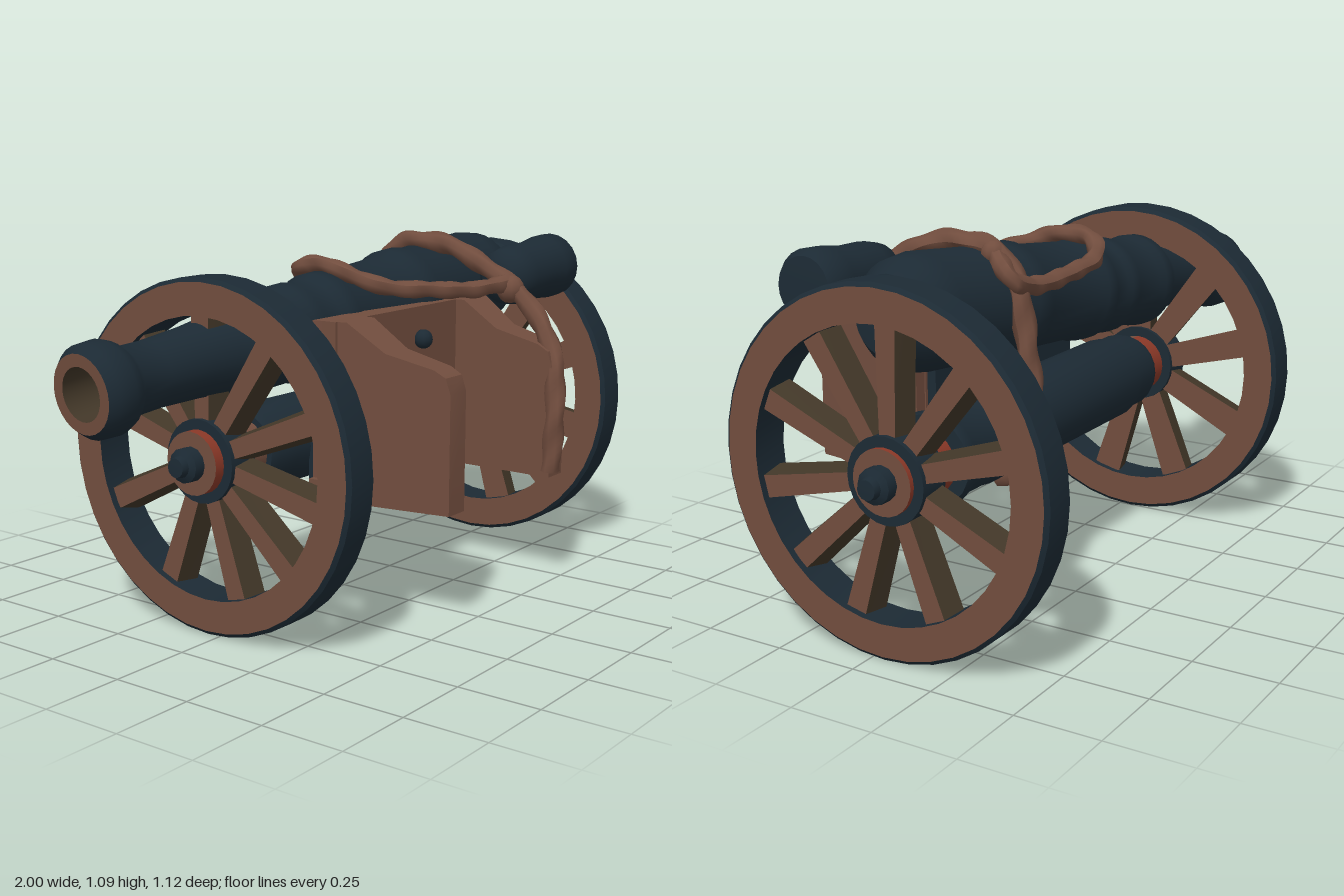
import * as THREE from 'three';
import { toCreasedNormals } from 'three/addons/utils/BufferGeometryUtils.js';

const material = (name, color) => {
  const m = new THREE.MeshStandardMaterial({ color });
  m.name = name;
  return m;
};

export function createModel() {
  const wood = material('brown wood', 0x714d3e);
  const iron = material('blue black iron', 0x1c2a34);
  const red = material('rust red', 0x8a3827);
  const shade = material('dark olive wood', 0x423728);

  const model = new THREE.Group();
  model.name = 'fieldCannon';

  const add = (parent, name, geometry, mat, x = 0, y = 0, z = 0) => {
    const mesh = new THREE.Mesh(geometry, mat);
    mesh.name = name;
    mesh.position.set(x, y, z);
    parent.add(mesh);
    return mesh;
  };
  const lathe = (points, segments = 28) => toCreasedNormals(
    new THREE.LatheGeometry(points.map(([r, h]) => new THREE.Vector2(r, h)), segments), 0.7);
  // lathe whose axis runs along +x
  const latheX = (points, segments) => lathe(points, segments).rotateZ(-Math.PI / 2);
  const pathOf = (points) => new THREE.CatmullRomCurve3(points.map((p) => new THREE.Vector3(...p)));

  // Barrel, tilted up towards the breech
  const muzzle = new THREE.Vector3(-0.99, 0.76, -0.11);
  const breech = new THREE.Vector3(0.8, 0.92, 0.005);
  const barrel = new THREE.Group();
  barrel.name = 'barrel';
  barrel.position.copy(muzzle);
  barrel.quaternion.setFromUnitVectors(
    new THREE.Vector3(0, 1, 0), breech.clone().sub(muzzle).normalize());
  model.add(barrel);
  add(barrel, 'barrelBody', lathe([
    [0.11, 0], [0.13, 0.025], [0.133, 0.08], [0.122, 0.11], [0.098, 0.14], [0.096, 0.24],
    [0.104, 0.39], [0.115, 0.49], [0.126, 0.53], [0.147, 0.56], [0.147, 0.6], [0.139, 0.63],
    [0.141, 0.75], [0.15, 0.77], [0.15, 0.81], [0.144, 0.83], [0.144, 0.89], [0.158, 0.91],
    [0.158, 0.96], [0.148, 0.98], [0.154, 1.25], [0.168, 1.28], [0.168, 1.34], [0.16, 1.36],
    [0.163, 1.68], [0.15, 1.75], [0.11, 1.8], [0, 1.82],
  ]), iron);
  add(barrel, 'muzzleFace', lathe([[0.075, 0], [0.11, 0]]), wood);
  add(barrel, 'bore', lathe([[0, 0.12], [0.075, 0.12], [0.075, 0]]), shade);

  // Rounded roll lashed beside the breech
  const roll = add(model, 'sideRoll', latheX([
    [0, 0], [0.06, 0.01], [0.087, 0.04], [0.097, 0.1], [0.094, 0.2], [0.103, 0.27],
    [0.103, 0.34], [0.085, 0.365], [0, 0.37],
  ], 20), iron, 0.455, 0.953, 0.264);
  roll.rotation.z = 0.05;

  // Axle
  const axleY = 0.513, axleZ = -0.06;
  add(model, 'axleBody', latheX([
    [0, -0.41], [0.11, -0.41], [0.12, -0.38], [0.12, -0.3], [0.13, -0.26], [0.13, 0.5],
    [0.125, 0.54], [0.125, 0.67], [0.135, 0.69], [0.13, 0.72], [0, 0.72],
  ], 22), iron, 0, axleY, axleZ);

  // Wheels
  const spokeAngles = [93, 130, 165, 205, 247, 284, 315, 346, 22, 58];
  const w = 0.0575, rimIn = 0.408, rimOut = 0.503;
  for (const [name, x, side] of [['rightWheel', -0.547, -1], ['leftWheel', 0.865, 1]]) {
    const wheel = new THREE.Group();
    wheel.name = name;
    wheel.position.set(x, 0.52, -0.04);
    model.add(wheel);
    add(wheel, 'tyre',
      latheX([[rimOut, -w], [0.515, -0.047], [0.515, 0.047], [rimOut, w]], 40), iron);
    add(wheel, 'rimInside', latheX([[rimIn, w], [rimIn, -w]], 40), iron);
    add(wheel, 'rimFaceInner', latheX([[rimIn, -w], [rimOut, -w]], 40), wood);
    add(wheel, 'rimFaceOuter', latheX([[rimOut, w], [rimIn, w]], 40), wood);

    // Spokes run from the hub, which sits slightly behind the rim centre
    for (const deg of spokeAngles) {
      const a = THREE.MathUtils.degToRad(deg);
      const end = new THREE.Vector2(Math.cos(a), Math.sin(a)).multiplyScalar(0.418);
      const start = new THREE.Vector2(-0.02, -0.005);
      const dir = end.clone().sub(start);
      const geometry = new THREE.BoxGeometry(0.072, dir.length(), 0.094);
      // narrower at the hub and on the outer face
      const p = geometry.attributes.position;
      for (let i = 0; i < p.count; i++) {
        const taper = p.getY(i) < 0 ? 0.72 : 1;
        p.setZ(i, p.getZ(i) * taper * (p.getX(i) * side > 0 ? 0.68 : 1));
      }
      geometry.computeVertexNormals();
      const spoke = add(wheel, 'spoke', geometry, [wood, wood, shade, shade, shade, shade],
        0, (start.y + end.y) / 2, (start.x + end.x) / 2);
      spoke.rotation.x = Math.atan2(dir.x, dir.y);
    }

    const hub = new THREE.Group();
    hub.name = 'hub';
    hub.position.set(0, -0.007, -0.02);
    wheel.add(hub);
    add(hub, 'hubRing', new THREE.CylinderGeometry(0.122, 0.122, 0.1, 24).rotateZ(Math.PI / 2), iron);
    const outer = side > 0 ? 0.065 : 0.083;
    add(hub, 'hubOuter', new THREE.CylinderGeometry(0.092, 0.092, outer, 24).rotateZ(Math.PI / 2),
      [red, wood, wood], side * outer / 2);
    // Inner collar, wooden in front and red behind
    [wood, red].forEach((mat, i) => add(hub, 'hubCollar', new THREE.CylinderGeometry(
      0.092, 0.092, 0.14, 12, 1, false, (i - 0.5) * Math.PI, Math.PI).rotateZ(Math.PI / 2),
    mat, side * -0.07));
    const cap = latheX([[0, -0.03], [0.05, -0.03], [0.05, 0.035], [0.032, 0.045], [0.028, 0.066],
      [0, 0.068]], 12);
    add(hub, 'axleCap', cap, iron, side * outer).rotation.y = side > 0 ? 0 : Math.PI;
  }

  // Carriage panel, with two tapering cheeks reaching forward
  const panel = new THREE.Group();
  panel.name = 'carriage';
  model.add(panel);
  add(panel, 'frontPanel', new THREE.BoxGeometry(0.78, 0.53, 0.08), wood, 0.125, 0.625, 0.13);
  add(panel, 'bottomBoard', new THREE.BoxGeometry(0.83, 0.05, 0.07), wood, 0.125, 0.4, 0.125);
  add(panel, 'panelBacking', new THREE.BoxGeometry(0.76, 0.42, 0.03), iron, 0.125, 0.62, 0.077);
  const profile = new THREE.Shape([
    [0.09, 0.36], [0.52, 0.36], [0.52, 0.71], [0.505, 0.755], [0.47, 0.775], [0.32, 0.81],
    [0.2, 0.89], [0.09, 0.89],
  ].map(([z, y]) => new THREE.Vector2(z, y)));
  for (const [name, inner, side] of [['rightCheek', -0.12, -1], ['leftCheek', 0.365, 1]]) {
    const geometry = new THREE.ExtrudeGeometry(profile, { depth: 1, bevelEnabled: false })
      .rotateY(-Math.PI / 2).translate(0.5, 0, 0);
    const p = geometry.attributes.position;
    for (let i = 0; i < p.count; i++) {
      const t = (p.getZ(i) - 0.09) / 0.43;
      const thickness = THREE.MathUtils.lerp(0.15, 0.08, t);
      p.setX(i, inner + (side * p.getX(i) > 0 ? side * thickness : 0));
    }
    add(panel, name, toCreasedNormals(geometry, 0.6), wood);
  }
  add(panel, 'panelBolt', new THREE.SphereGeometry(0.03, 10, 8), iron, 0.16, 0.79, 0.185);
  add(panel, 'sideBracket', new THREE.BoxGeometry(0.04, 0.34, 0.06), wood, 0.54, 0.57, 0.12);

  // Ropes, with a rippled surface like twisted strands
  const rope = (name, points, radius) => {
    const curve = pathOf(points);
    const steps = 90, sides = 8;
    const geometry = new THREE.TubeGeometry(curve, steps, radius, sides);
    const p = geometry.attributes.position;
    const v = new THREE.Vector3();
    for (let i = 0; i <= steps; i++) {
      const centre = curve.getPointAt(i / steps);
      for (let j = 0; j <= sides; j++) {
        const k = i * (sides + 1) + j;
        const swell = 1 + 0.13 * Math.cos(2 * (j / sides) * Math.PI * 2 + i * 0.9);
        v.fromBufferAttribute(p, k).sub(centre).multiplyScalar(swell).add(centre);
        p.setXYZ(k, v.x, v.y, v.z);
      }
    }
    geometry.computeVertexNormals();
    add(model, name, geometry, wood);
  };
  rope('lashingRope', [
    [0.375, 0.38, 0.52], [0.375, 0.56, 0.53], [0.4, 0.73, 0.505], [0.425, 0.85, 0.43],
    [0.43, 0.94, 0.33], [0.43, 1.0, 0.22], [0.43, 1.05, 0.11], [0.43, 1.062, 0],
    [0.44, 1.045, -0.1], [0.45, 0.96, -0.175], [0.45, 0.8, -0.205], [0.45, 0.62, -0.225],
    [0.44, 0.5, -0.215], [0.43, 0.42, -0.16], [0.43, 0.39, -0.1],
  ], 0.031);
  rope('looseLoop', [
    [0.44, 1.04, -0.1], [0.52, 0.99, -0.2], [0.4, 0.95, -0.195], [0.2, 0.95, -0.195],
    [0.03, 0.97, -0.185], [-0.03, 1.01, -0.14], [-0.035, 1.02, -0.04], [-0.025, 0.99, 0.06],
    [0.02, 0.96, 0.15], [0.12, 0.95, 0.23], [0.26, 0.94, 0.295], [0.42, 0.95, 0.33],
  ], 0.026);
  add(model, 'frontKnot', new THREE.SphereGeometry(0.045, 10, 8), wood, 0.42, 0.93, 0.335);
  add(model, 'topKnot', new THREE.SphereGeometry(0.036, 10, 8), wood, 0.45, 1.04, -0.1);

  return model;
}
